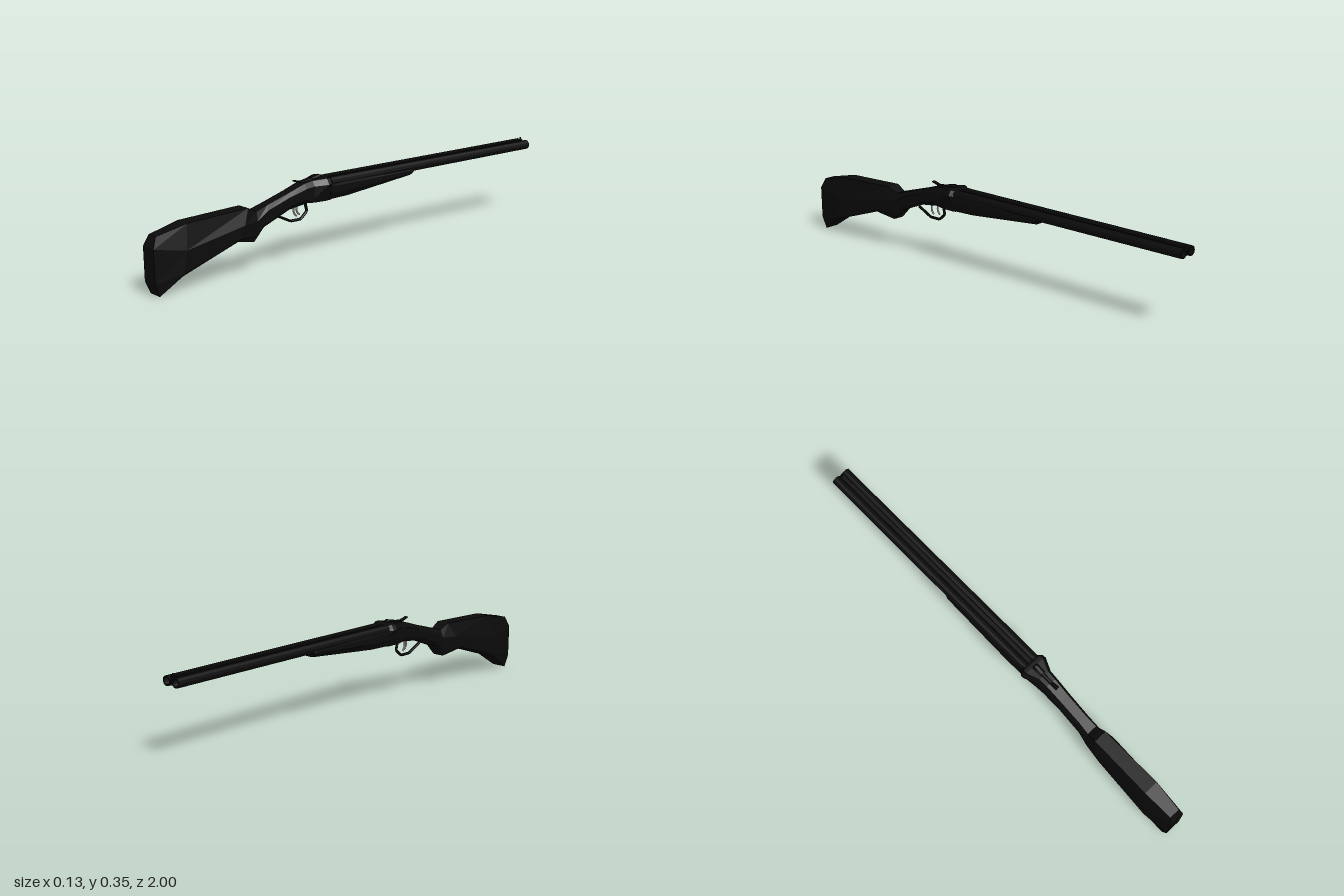
import * as THREE from 'three';

const dark = new THREE.MeshStandardMaterial({ color: 0x0b0b0b, flatShading: true, side: THREE.DoubleSide });
const grey = new THREE.MeshStandardMaterial({ color: 0xcccccc, flatShading: true });

// Eight-sided section between a top and a bottom point, counter-clockwise seen from +z.
// sb/st: heights of the shoulders (0..1), wb/wt: their half-widths, fb/ft: half-widths of the flats.
function ring({ top, bot, sb = 0.2, st = 0.75, wb, wt = wb, fb = wb * 0.7, ft = wt * 0.65, bulge = 0 }) {
  const at = (x, s, dz = 0) => new THREE.Vector3(x,
    THREE.MathUtils.lerp(bot[1], top[1], s), THREE.MathUtils.lerp(bot[0], top[0], s) + dz);
  return [at(fb, 0), at(wb, sb, bulge), at(wt, st, bulge), at(ft, 1),
    at(-ft, 1), at(-wt, st, bulge), at(-wb, sb, bulge), at(-fb, 0)];
}

// Skin over sections that run from +z towards -z, with both ends closed.
function loft(sections) {
  const rings = sections.map(ring);
  const n = 8, pos = [];
  const quad = (a, b, c, d) => [a, b, c, a, c, d].forEach(v => pos.push(v.x, v.y, v.z));
  for (let i = 0; i < rings.length - 1; i++) {
    for (let j = 0; j < n; j++) {
      const k = (j + 1) % n;
      quad(rings[i][j], rings[i + 1][j], rings[i + 1][k], rings[i][k]);
    }
  }
  const first = rings[0], last = rings[rings.length - 1];
  for (let j = 0; j < 3; j++) {
    quad(first[j], first[j + 1], first[n - 2 - j], first[n - 1 - j]);
    quad(last[n - 1 - j], last[n - 2 - j], last[j + 1], last[j]);
  }
  const g = new THREE.BufferGeometry();
  g.setAttribute('position', new THREE.Float32BufferAttribute(pos, 3));
  g.computeVertexNormals();
  return g;
}

// Straight-sided path through [z, y] points in the centre plane
function path(points, x = 0) {
  const p = new THREE.CurvePath();
  const v = points.map(([z, y]) => new THREE.Vector3(x, y, z));
  for (let i = 1; i < v.length; i++) p.add(new THREE.LineCurve3(v[i - 1], v[i]));
  return p;
}

export function createModel() {
  const model = new THREE.Group();
  const add = (name, geometry, material = dark, x = 0, y = 0, z = 0) => {
    const mesh = new THREE.Mesh(geometry, material);
    mesh.name = name;
    mesh.position.set(x, y, z);
    model.add(mesh);
    return mesh;
  };

  // Butt, grip swell and wrist
  add('stock', loft([
    { top: [0.98, 0.235], bot: [0.975, 0.002], sb: 0.22, st: 0.81, wb: 0.036, fb: 0.032, ft: 0.024, bulge: 0.02 },
    { top: [0.845, 0.265], bot: [0.88, 0.067], sb: 0.06, st: 0.5, wb: 0.052, fb: 0.046, ft: 0.033 },
    { top: [0.56, 0.277], bot: [0.62, 0.155], sb: 0.08, st: 0.5, wb: 0.051, fb: 0.044, ft: 0.03 },
    { top: [0.515, 0.255], bot: [0.53, 0.135], wb: 0.037, st: 0.7 },
    { top: [0.46, 0.272], bot: [0.48, 0.185], wb: 0.032 },
    { top: [0.35, 0.305], bot: [0.355, 0.235], wb: 0.033 },
  ]));

  // Action body, flaring out at the breech
  add('receiver', loft([
    { top: [0.35, 0.305], bot: [0.355, 0.235], wb: 0.033 },
    { top: [0.275, 0.33], bot: [0.265, 0.248], wb: 0.036 },
    { top: [0.235, 0.336], bot: [0.235, 0.247], wb: 0.038, fb: 0.034 },
    { top: [0.18, 0.341], bot: [0.18, 0.246], sb: 0.5, st: 0.75, wb: 0.052, wt: 0.063, fb: 0.036, ft: 0.047 },
    { top: [0.165, 0.341], bot: [0.165, 0.246], sb: 0.5, st: 0.75, wb: 0.051, wt: 0.062, fb: 0.036, ft: 0.046 },
    { top: [0.15, 0.337], bot: [0.15, 0.247], sb: 0.5, st: 0.75, wb: 0.046, wt: 0.047, fb: 0.035, ft: 0.038 },
  ]));

  // Tapered wood under the barrels
  add('foreEnd', loft([
    { top: [0.16, 0.318], bot: [0.16, 0.248], sb: 0.4, st: 0.8, wb: 0.047, fb: 0.034, ft: 0.044 },
    { top: [0.055, 0.318], bot: [0.055, 0.25], sb: 0.4, st: 0.8, wb: 0.048, fb: 0.03, ft: 0.044 },
    { top: [-0.285, 0.315], bot: [-0.29, 0.282], sb: 0.4, st: 0.75, wb: 0.046, fb: 0.026, ft: 0.042 },
    { top: [-0.3, 0.312], bot: [-0.3, 0.296], sb: 0.4, st: 0.75, wb: 0.042, fb: 0.026, ft: 0.04 },
  ]));

  // Two tubes side by side with a shallow hollow at the far end
  const profile = [[0, 0], [0.0215, 0], [0.0205, 1.165], [0.015, 1.165], [0.015, 1.09], [0, 1.09]]
    .map(([r, h]) => new THREE.Vector2(r, h));
  const barrel = new THREE.LatheGeometry(profile, 12).rotateX(-Math.PI / 2);
  add('leftBarrel', barrel, dark, 0.025, 0.318, 0.165);
  add('rightBarrel', barrel, dark, -0.025, 0.318, 0.165);
  add('rib', new THREE.BoxGeometry(0.018, 0.034, 1.16), dark, 0, 0.3205, -0.415);
  add('frontBead', new THREE.CylinderGeometry(0.003, 0.005, 0.012, 6), dark, 0, 0.343, -0.99);

  // Raised block and opening lever on top of the action
  add('rearBlock', loft([
    { top: [0.225, 0.345], bot: [0.225, 0.325], wb: 0.013, ft: 0.006 },
    { top: [0.187, 0.352], bot: [0.187, 0.325], wb: 0.013, ft: 0.006 },
    { top: [0.18, 0.35], bot: [0.18, 0.325], wb: 0.013, ft: 0.006 },
  ]));
  add('topLever', loft([
    { top: [0.312, 0.345], bot: [0.312, 0.339], wb: 0.009 },
    { top: [0.275, 0.337], bot: [0.275, 0.327], wb: 0.007 },
    { top: [0.22, 0.341], bot: [0.22, 0.325], wb: 0.008 },
  ]));

  // Angular bow below the action
  const guard = path([[0.40, 0.214], [0.33, 0.18], [0.278, 0.18], [0.247, 0.208], [0.257, 0.25]]);
  add('triggerGuard', new THREE.TubeGeometry(guard, 32, 0.006, 6));

  // Two curved blades, one behind the other
  [[0.312, 0.006, 'rearTrigger'], [0.288, -0.006, 'frontTrigger']].forEach(([z, x, name]) => {
    const curve = new THREE.QuadraticBezierCurve3(
      new THREE.Vector3(x, 0.25, z), new THREE.Vector3(x, 0.215, z + 0.018), new THREE.Vector3(x, 0.198, z - 0.008));
    add(name, new THREE.TubeGeometry(curve, 6, 0.004, 6), grey);
  });

  return model;
}
